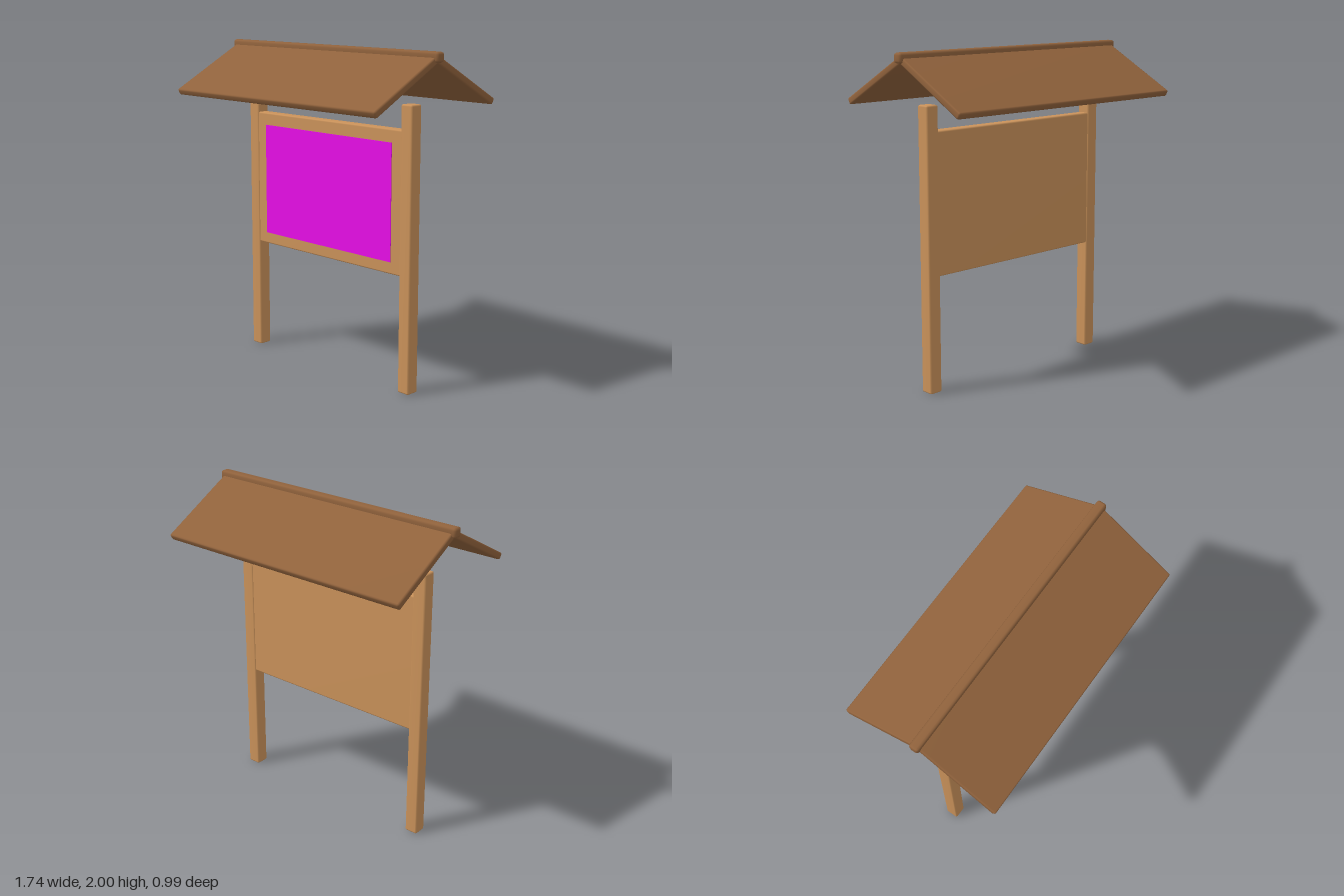
import * as THREE from 'three';
import { RoundedBoxGeometry } from 'three/addons/geometries/RoundedBoxGeometry.js';
import { mergeVertices } from 'three/addons/utils/BufferGeometryUtils.js';

const material = (name, color) => {
  const m = new THREE.MeshStandardMaterial({ color });
  m.name = name;
  return m;
};

// Box with narrow bevels and normals that run smoothly over the edges
function beam(w, h, d, bevel) {
  const g = new RoundedBoxGeometry(w, h, d, 1, bevel);
  g.deleteAttribute('normal');
  g.deleteAttribute('uv');
  const merged = mergeVertices(g, 1e-5);
  merged.computeVertexNormals();
  return merged;
}

export function createModel() {
  const group = new THREE.Group();
  group.name = 'noticeBoard';

  const lightWood = material('lightWood', 0xca925a);
  const darkWood = material('darkWood', 0x90623c);
  const magenta = material('magentaPaper', 0xe80ee8);

  const add = (name, geometry, mat, x, y, z) => {
    const mesh = new THREE.Mesh(geometry, mat);
    mesh.name = name;
    mesh.position.set(x, y, z);
    group.add(mesh);
    return mesh;
  };

  // Two square posts
  const postGeometry = beam(0.083, 1.7, 0.083, 0.01);
  for (const side of [-1, 1]) {
    add(side > 0 ? 'leftPost' : 'rightPost', postGeometry, lightWood, side * 0.657, 0.85, 0);
  }

  // Board between the posts, with a sheet on its front
  add('board', beam(1.27, 0.85, 0.072, 0.01), lightWood, 0, 1.127, 0);
  add('poster', new THREE.BoxGeometry(1.09, 0.7, 0.005), magenta, 0, 1.125, 0.038);

  // Two roof slopes, each running from the ridge to its eave
  const ridge = { y: 1.96, z: 0 };
  const eave = { y: 1.697, z: 0.482 };
  const length = Math.hypot(eave.z, ridge.y - eave.y);
  const tilt = Math.atan2(ridge.y - eave.y, eave.z);
  const slopeGeometry = beam(1.7, 0.042, length + 0.02, 0.01);
  for (const side of [-1, 1]) {
    const slope = add(side > 0 ? 'frontRoof' : 'backRoof', slopeGeometry, darkWood,
      0, (ridge.y + eave.y) / 2, side * eave.z / 2);
    slope.rotation.x = side * tilt;
  }

  // Ridge beam
  add('ridgeBeam', beam(1.74, 0.06, 0.06, 0.015), darkWood, 0, 1.97, 0);

  return group;
}
